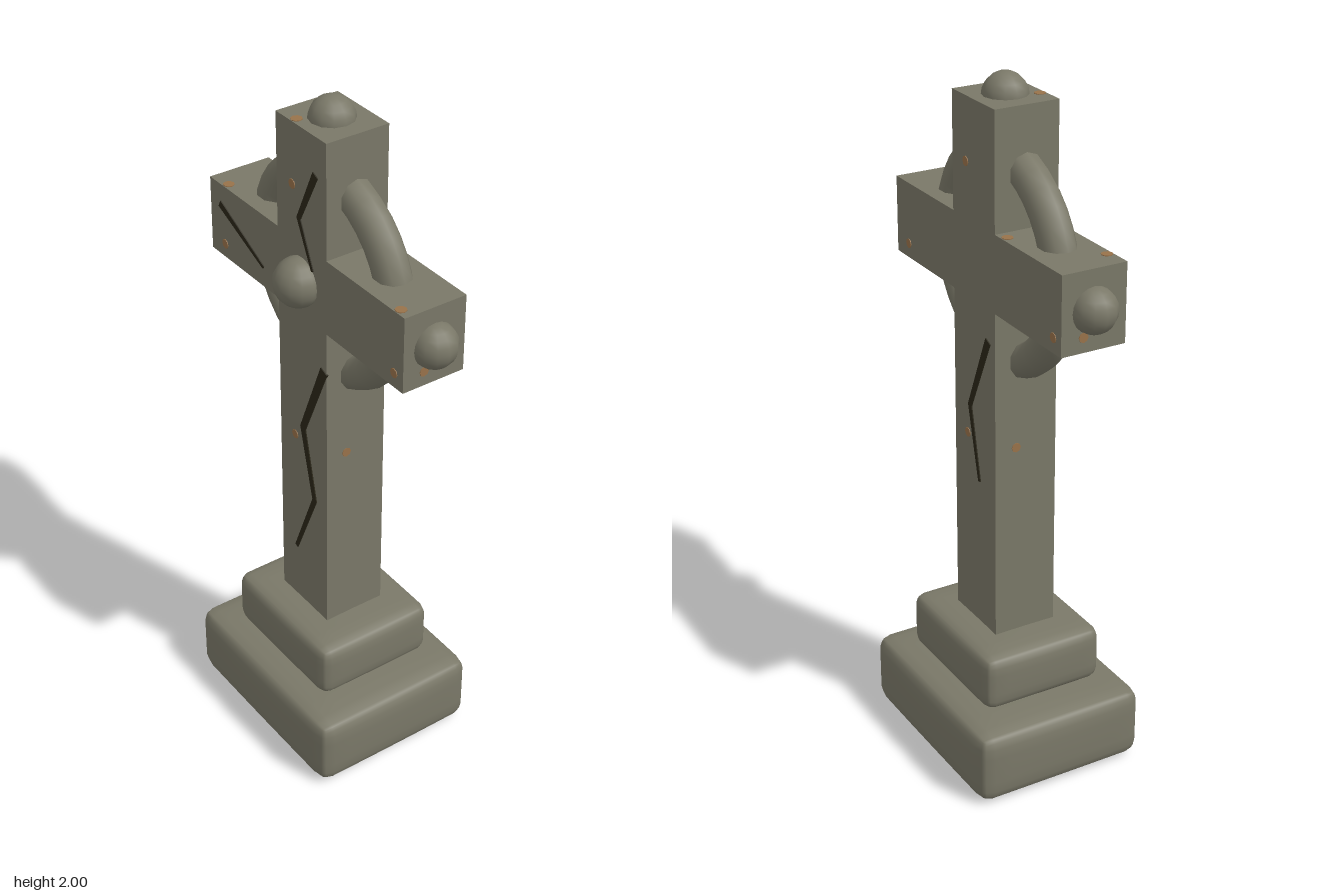
import * as THREE from 'three';
import { mergeVertices } from 'three/addons/utils/BufferGeometryUtils.js';

const stone = new THREE.MeshStandardMaterial({ color: 0x7a7868 });
stone.name = 'weathered stone';
const dark = new THREE.MeshStandardMaterial({ color: 0x2a2618 });
dark.name = 'dark crack';
const rust = new THREE.MeshStandardMaterial({ color: 0x98724a });
rust.name = 'ochre lichen';

const CROSS_Y = 1.5, HALF_W = 0.11, HALF_D = 0.095, ARM = 0.437;

// Soft-edged block whose faces swell slightly in the middle
function softBlock(w, h, d, r, swell) {
  let geo = new THREE.BoxGeometry(2, 2, 2, 10, 10, 10);
  geo.deleteAttribute('uv');
  geo.deleteAttribute('normal');
  geo = mergeVertices(geo);
  const pos = geo.attributes.position;
  const half = new THREE.Vector3(w / 2, h / 2, d / 2);
  const core = half.clone().subScalar(r);
  const p = new THREE.Vector3(), c = new THREE.Vector3();
  const crowd = (t) => Math.sign(t) * (1 - (1 - Math.abs(t)) ** 2);
  for (let i = 0; i < pos.count; i++) {
    p.fromBufferAttribute(pos, i);
    p.set(crowd(p.x), crowd(p.y), crowd(p.z));
    const [a, b, e] = [1 - p.x * p.x, 1 - p.y * p.y, 1 - p.z * p.z];
    const bulge = new THREE.Vector3(p.x * b * e, p.y * a * e, p.z * a * b).multiplyScalar(swell);
    p.multiply(half);
    c.copy(p).clamp(core.clone().negate(), core);
    p.sub(c);
    if (p.length() > 0) p.setLength(r);
    p.add(c).add(bulge);
    pos.setXYZ(i, p.x, p.y, p.z);
  }
  geo.computeVertexNormals();
  return geo;
}

// Tapering ribbon that follows a zigzag on a face
function crackGeometry(points, width) {
  const pts = points.map(([x, y]) => new THREE.Vector2(x, y));
  const left = [], right = [];
  pts.forEach((p, i) => {
    const before = pts[Math.max(i - 1, 0)], after = pts[Math.min(i + 1, pts.length - 1)];
    const t = after.clone().sub(before).normalize();
    const n = new THREE.Vector2(-t.y, t.x).multiplyScalar(width * (0.5 - 0.28 * i / (pts.length - 1)));
    left.push(p.clone().add(n));
    right.unshift(p.clone().sub(n));
  });
  return new THREE.ExtrudeGeometry(new THREE.Shape([...left, ...right]), { depth: 0.006, bevelEnabled: false });
}

export function createModel() {
  const group = new THREE.Group();
  const add = (name, geo, mat, x = 0, y = 0, z = 0) => {
    const mesh = new THREE.Mesh(geo, mat);
    mesh.name = name;
    mesh.position.set(x, y, z);
    group.add(mesh);
    return mesh;
  };

  // Stepped base
  add('lowerPlinth', softBlock(0.654, 0.22, 0.526, 0.042, 0.006), stone, 0, 0.118, 0);
  add('upperPlinth', softBlock(0.45, 0.17, 0.376, 0.036, 0.005), stone, 0, 0.32, 0);

  // Cross and ring
  add('shaft', new THREE.BoxGeometry(HALF_W * 2, 1.64, HALF_D * 2), stone, 0, 1.12, 0);
  for (const s of [-1, 1]) {
    const len = ARM - HALF_W;
    add(s > 0 ? 'leftArm' : 'rightArm', new THREE.BoxGeometry(len, 0.22, HALF_D * 2), stone,
      s * (HALF_W + len / 2), CROSS_Y, 0);
    add(s > 0 ? 'leftKnob' : 'rightKnob', new THREE.SphereGeometry(0.063, 12, 10), stone, s * ARM, CROSS_Y, 0);
  }
  add('ring', new THREE.TorusGeometry(0.283, 0.051, 10, 36), stone, 0, CROSS_Y, 0);
  add('topKnob', new THREE.SphereGeometry(0.063, 12, 10), stone, 0, 1.937, 0);
  add('frontBoss', new THREE.SphereGeometry(0.07, 14, 10), stone, 0, CROSS_Y, 0.106);

  // Cracks in the front and back
  const front = HALF_D - 0.003, back = -HALF_D - 0.003;
  add('shaftCrack', crackGeometry([[0.10, 1.27], [0, 1.03], [0.053, 0.81], [-0.038, 0.59]], 0.03), dark, 0, 0, front);
  add('topCrack', crackGeometry([[0.065, 1.835], [-0.01, 1.68], [0.05, 1.55]], 0.023), dark, 0, 0, front);
  add('armCrack', crackGeometry([[-0.39, 1.55], [-0.18, 1.45]], 0.022), dark, 0, 0, front);
  add('backCrack', crackGeometry([[-0.075, 1.30], [0.025, 1.075], [-0.025, 0.86]], 0.026), dark, 0, 0, back);

  // Lichen spots, repeated half a turn round on the back
  const spot = new THREE.CylinderGeometry(1, 1, 0.004, 8);
  const addSpot = (x, y, z, axis, r = 0.016) => {
    const m = add('lichenSpot', spot, rust, x, y, z);
    m.scale.set(r, 1, r);
    if (axis === 'z') m.rotation.x = Math.PI / 2;
    if (axis === 'x') m.rotation.z = Math.PI / 2;
  };
  for (const [x, y] of [[-0.04, 1.765], [-0.37, 1.432], [0.40, 1.432], [-0.04, 0.985]]) {
    for (const s of [-1, 1]) addSpot(s * x, y, s * HALF_D, 'z', 0.014);
  }
  for (const s of [-1, 1]) {
    addSpot(s * HALF_W, 0.985, s * 0.03, 'x', 0.014);
    addSpot(s * ARM, 1.432, s * 0.03, 'x', 0.014);
  }
  for (const [x, z] of [[-0.37, 0.078], [-0.145, -0.078], [0.40, 0.078]]) addSpot(x, 1.61, z, 'y');
  addSpot(-0.042, 1.94, 0.078, 'y');

  return group;
}
